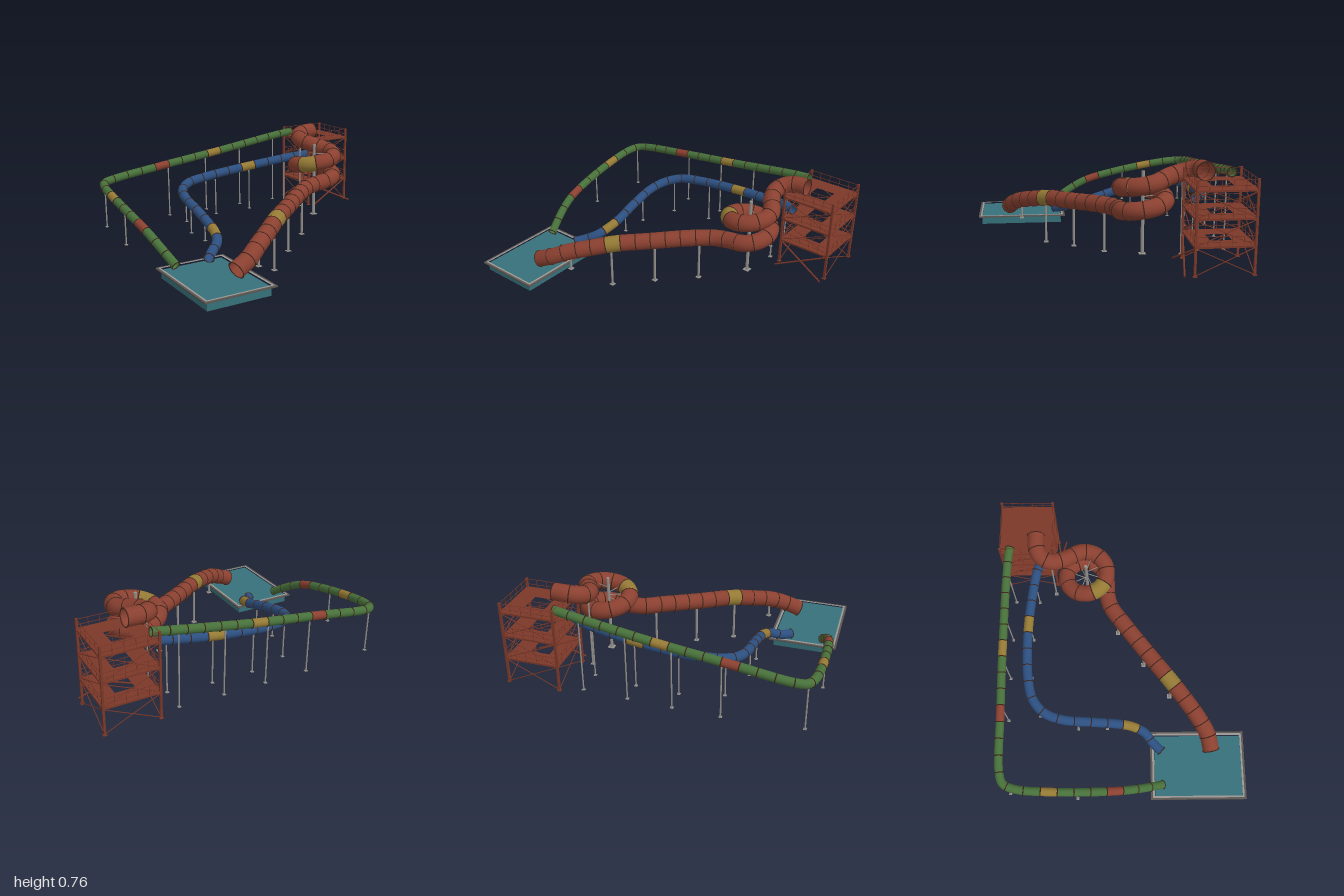
import * as THREE from 'three';

const mat = (name, color, side = THREE.FrontSide) => {
  const m = new THREE.MeshStandardMaterial({ color, side });
  m.name = name;
  return m;
};
const V = (x, y, z) => new THREE.Vector3(x, y, z);

export function createModel() {
  const M = {
    red: mat('red plastic', 0x8a4030, THREE.DoubleSide),
    green: mat('green plastic', 0x47703a, THREE.DoubleSide),
    blue: mat('blue plastic', 0x2c4f80, THREE.DoubleSide),
    yellow: mat('yellow plastic', 0x957a35, THREE.DoubleSide),
    flange: mat('dark flange', 0x40261c),
    steel: mat('grey steel', 0x94918c),
    frame: mat('tower paint', 0x7c3828),
    water: mat('pool teal', 0x36707a),
    rim: mat('pool rim', 0x9a9692),
    curb: mat('dark curb', 0x5a5652),
  };
  const root = new THREE.Group();
  const group = (name) => {
    const g = new THREE.Group();
    g.name = name;
    root.add(g);
    return g;
  };
  const add = (parent, name, geo, m) => {
    const mesh = new THREE.Mesh(geo, m);
    mesh.name = name;
    parent.add(mesh);
    return mesh;
  };
  const box = (parent, name, m, x0, x1, y0, y1, z0, z1) =>
    add(parent, name, new THREE.BoxGeometry(x1 - x0, y1 - y0, z1 - z0), m)
      .position.set((x0 + x1) / 2, (y0 + y1) / 2, (z0 + z1) / 2);
  const rod = (parent, name, m, a, b, r, sides = 5) => {
    const dir = b.clone().sub(a);
    const mesh = add(parent, name, new THREE.CylinderGeometry(r, r, dir.length(), sides), m);
    mesh.position.copy(a).lerp(b, 0.5);
    mesh.quaternion.setFromUnitVectors(V(0, 1, 0), dir.normalize());
  };
  // horizontal slab or frame with a rectangular opening
  const slab = (parent, name, m, [x0, x1, z0, z1], [hx0, hx1, hz0, hz1], y, h) => {
    const rect = (P, a, b, c, d) => new P([[a, -c], [b, -c], [b, -d], [a, -d]].map((p) => new THREE.Vector2(...p)));
    const s = rect(THREE.Shape, x0, x1, z0, z1);
    s.holes.push(rect(THREE.Path, hx0, hx1, hz0, hz1));
    const g = new THREE.ExtrudeGeometry(s, { depth: h, bevelEnabled: false }).rotateX(-Math.PI / 2);
    add(parent, name, g, m).position.y = y;
  };

  // Slides: flanged tube sections along a curve, with some sections in accent colours
  const slide = (name, m, pts, r, step, accents) => {
    const g = group(name);
    const curve = new THREE.CatmullRomCurve3(pts, false, 'centripetal');
    curve.arcLengthDivisions = 800;
    const n = Math.round(curve.getLength() / step);
    const mats = Array(n).fill(m);
    for (const [p, am] of accents) {
      let best = 0, dist = 9;
      for (let i = 0; i < n; i++) {
        const d = curve.getPointAt((i + 0.5) / n).distanceTo(p);
        if (d < dist) { dist = d; best = i; }
      }
      mats[best] = am;
    }
    for (let i = 0; i <= n; i++) {
      const ring = add(g, 'flange', new THREE.TorusGeometry(r + 0.001, 0.0035, 4, 20), M.flange);
      ring.position.copy(curve.getPointAt(i / n));
      ring.quaternion.setFromUnitVectors(V(0, 0, 1), curve.getTangentAt(i / n));
      if (i === n) break;
      const part = new THREE.CatmullRomCurve3([0, 1, 2, 3, 4].map((k) => curve.getPointAt((i + k / 4) / n)));
      add(g, 'tubeSection', new THREE.TubeGeometry(part, 5, r, 20), mats[i]);
    }
    return curve;
  };

  const greenCurve = slide('greenSlide', M.green, [
    V(0.65, 0.67, -0.76), V(0.5, 0.65, -0.773), V(0, 0.575, -0.79), V(-0.5, 0.51, -0.795),
    V(-0.84, 0.462, -0.795), V(-0.92, 0.45, -0.77), V(-0.955, 0.44, -0.69), V(-0.968, 0.41, -0.5),
    V(-0.962, 0.35, -0.2), V(-0.945, 0.295, 0), V(-0.92, 0.23, 0.13), V(-0.88, 0.14, 0.27),
  ], 0.028, 0.11, [
    [V(0, 0.575, -0.79), M.yellow], [V(-0.48, 0.51, -0.795), M.red],
    [V(-0.968, 0.41, -0.52), M.yellow], [V(-0.95, 0.31, -0.05), M.red],
  ]);

  const blueCurve = slide('blueSlide', M.blue, [
    V(0.66, 0.52, -0.54), V(0.55, 0.505, -0.585), V(0.4, 0.487, -0.612), V(0.2, 0.465, -0.635),
    V(0, 0.445, -0.643), V(-0.2, 0.425, -0.635), V(-0.35, 0.41, -0.6), V(-0.44, 0.385, -0.52),
    V(-0.48, 0.36, -0.4), V(-0.485, 0.31, -0.2), V(-0.485, 0.255, -0.03), V(-0.495, 0.23, 0.06),
    V(-0.53, 0.195, 0.15), V(-0.6, 0.16, 0.21), V(-0.65, 0.145, 0.265),
  ], 0.032, 0.115, [[V(0.11, 0.455, -0.64), M.yellow], [V(-0.49, 0.235, 0.035), M.yellow]]);

  // Spiral part of the red slide
  const helix = (deg, rad = 0.14) => {
    const a = deg * Math.PI / 180;
    return V(0.51 + rad * Math.cos(a), 0.56 - (deg - 90) / 360 * 0.15, -0.24 + rad * Math.sin(a));
  };
  const spiral = [];
  for (let d = -20; d <= 440; d += 20) spiral.push(helix(d));
  const redCurve = slide('redSpiralSlide', M.red, [
    V(0.73, 0.695, -0.58), V(0.64, 0.69, -0.577), V(0.575, 0.675, -0.545), V(0.548, 0.655, -0.48),
    V(0.575, 0.635, -0.39), ...spiral,
    V(0.43, 0.4, -0.1), V(0.33, 0.39, -0.075), V(0.2, 0.38, 0.015), V(0, 0.355, 0.17),
    V(-0.2, 0.332, 0.33), V(-0.32, 0.3, 0.425), V(-0.45, 0.262, 0.52), V(-0.55, 0.215, 0.58), V(-0.65, 0.17, 0.605),
  ], 0.056, 0.1, [[V(0.39, 0.535, -0.16), M.yellow], [V(-0.2, 0.332, 0.33), M.yellow]]);

  // Support posts, snapped below the nearest point of a slide
  const posts = group('supportPosts');
  const post = (x, z, y0, y1, r = 0.006) => {
    rod(posts, 'post', M.steel, V(x, y0, z), V(x, y1, z), r, 8);
    box(posts, 'postFoot', M.steel, x - 2 * r, x + 2 * r, y0, y0 + 0.004, z - 2 * r, z + 2 * r);
  };
  const support = (curve, r, x, z, y0 = 0.125, w = 0.005) => {
    const p = curve.getSpacedPoints(400).reduce((a, b) =>
      (Math.hypot(b.x - x, b.z - z) < Math.hypot(a.x - x, a.z - z) ? b : a));
    post(p.x, p.z, y0, p.y - r * 0.9, w);
  };
  for (const [x, z] of [[0.48, -0.775], [0.18, -0.785], [-0.11, -0.79], [-0.42, -0.795], [-0.93, -0.76], [-0.965, -0.305]])
    support(greenCurve, 0.028, x, z);
  for (const [x, z] of [[0.48, -0.6], [0.18, -0.635], [-0.11, -0.64], [-0.39, -0.57], [-0.48, -0.305], [-0.485, -0.105]])
    support(blueCurve, 0.032, x, z);
  for (const [x, z, y] of [[-0.21, 0.345, 0], [0.02, 0.16, 0.035], [0.255, -0.025, 0.065], [-0.44, 0.515, 0.125]])
    support(redCurve, 0.056, x, z, y, 0.008);
  post(0.548, -0.48, 0.125, 0.6);
  post(0.51, -0.24, 0.125, 0.66, 0.011);
  // Spokes from the central post to the spiral
  for (let d = 20; d < 380; d += 45) {
    const p = helix(d, 0.09);
    rod(posts, 'spoke', M.steel, V(0.51, p.y, -0.24), p, 0.003);
  }

  // Tower: corner posts, decks, railings and cross braces
  const tower = group('tower');
  const X = [0.627, 0.98], Z = [-0.825, -0.472];
  for (const x of X) for (const z of Z) {
    box(tower, 'cornerPost', M.frame, x - 0.007, x + 0.007, 0.125, 0.7, z - 0.007, z + 0.007);
    box(tower, 'postFoot', M.frame, x - 0.012, x + 0.012, 0.125, 0.13, z - 0.012, z + 0.012);
  }
  const corners = [[X[0], Z[0]], [X[1], Z[0]], [X[1], Z[1]], [X[0], Z[1]]];
  const decks = [0.295, 0.46, 0.625];
  decks.forEach((y, level) => {
    slab(tower, 'deck', M.frame, [0.62, 0.985, -0.83, -0.465], [0.735, 0.865, -0.715, -0.585], y, 0.012);
    const y0 = level ? decks[level - 1] + 0.012 : 0.13;
    corners.forEach(([ax, az], i) => {
      const [bx, bz] = corners[(i + 1) % 4];
      for (const h of [0.035, 0.07])
        rod(tower, 'rail', M.frame, V(ax, y + h, az), V(bx, y + h, bz), 0.002);
      for (let k = 1; k < 5; k++) {
        const x = ax + (bx - ax) * k / 5, z = az + (bz - az) * k / 5;
        rod(tower, 'railPost', M.frame, V(x, y, z), V(x, y + 0.07, z), 0.002);
      }
      // the lowest front braces lean outwards
      const out = i === 2 && level === 0 ? 0.06 : 0;
      const r = out ? 0.006 : 0.003;
      rod(tower, 'brace', M.frame, V(ax, y0, az + out), V(bx, y, bz), r);
      rod(tower, 'brace', M.frame, V(bx, y0, bz + out), V(ax, y, az), r);
    });
  });

  // Splash pool
  const pool = group('pool');
  box(pool, 'basin', M.water, -0.955, -0.54, 0.058, 0.114, 0.22, 0.813);
  slab(pool, 'outerCurb', M.curb, [-0.98, -0.51, 0.19, 0.837], [-0.967, -0.523, 0.203, 0.824], 0.113, 0.009);
  slab(pool, 'innerRim', M.rim, [-0.967, -0.523, 0.203, 0.824], [-0.955, -0.537, 0.217, 0.812], 0.113, 0.01);
  return root;
}
